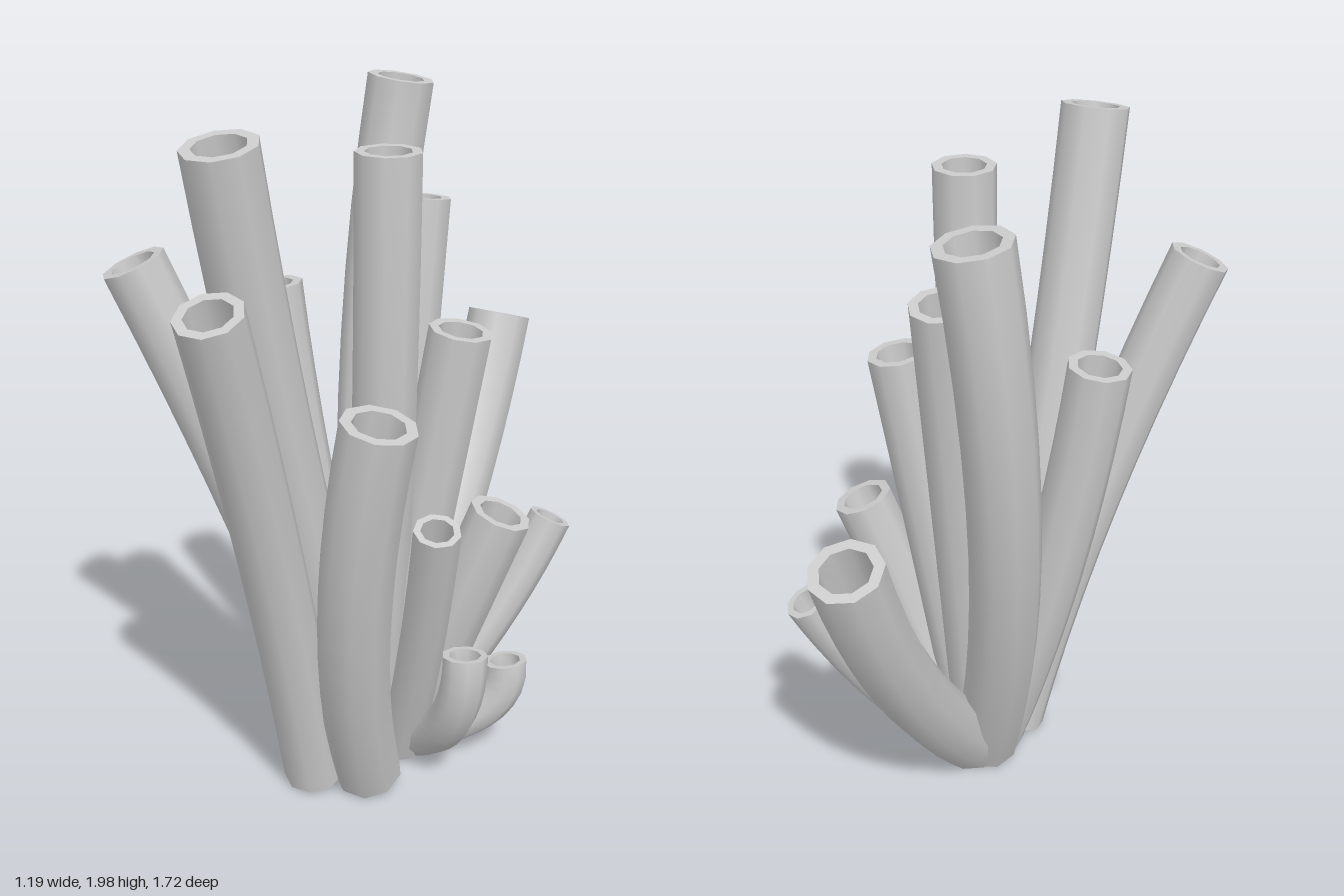
import * as THREE from 'three';
import { mergeGeometries } from 'three/addons/utils/BufferGeometryUtils.js';

const SIDES = 9, STEPS = 10, WALL = 0.7;
const material = new THREE.MeshStandardMaterial({ color: 0xcccccc, side: THREE.DoubleSide });

// Flat ring that closes the wall between the outer and inner tube at one end
function rim(outer, inner, step) {
  const pos = [], index = [];
  for (let j = 0; j <= SIDES; j++) {
    for (const g of [outer, inner]) {
      const p = new THREE.Vector3().fromBufferAttribute(g.attributes.position, step * (SIDES + 1) + j);
      pos.push(p.x, p.y, p.z);
    }
    const a = j * 2;
    if (j < SIDES && step === 0) index.push(a, a + 1, a + 2, a + 1, a + 3, a + 2);
    else if (j < SIDES) index.push(a, a + 2, a + 1, a + 1, a + 2, a + 3);
  }
  const g = new THREE.BufferGeometry();
  g.setAttribute('position', new THREE.Float32BufferAttribute(pos, 3));
  g.setIndex(index);
  g.computeVertexNormals();
  return g;
}

// Hollow, open-ended tube that leans through a point at half height
function hollowTube(name, radius, [bx, bz, mx, mz, tx, ty, tz]) {
  const tip = new THREE.Vector3(tx, ty, tz);
  const bend = new THREE.Vector3(2 * mx - (bx + tx) / 2, ty / 2, 2 * mz - (bz + tz) / 2);
  const base = new THREE.Vector3(bx, 0, bz);
  // lift the base so that its tilted end clears the ground
  const lean = bend.clone().sub(base).normalize();
  base.y = 0.015 + radius * Math.hypot(lean.x, lean.z);
  const curve = new THREE.QuadraticBezierCurve3(base, bend, tip);
  const outer = new THREE.TubeGeometry(curve, STEPS, radius, SIDES);
  const inner = new THREE.TubeGeometry(curve, STEPS, radius * WALL, SIDES);
  const ends = [rim(outer, inner, 0), rim(outer, inner, STEPS)];
  // the bore faces inward
  const idx = inner.index.array;
  for (let i = 0; i < idx.length; i += 3) [idx[i], idx[i + 1]] = [idx[i + 1], idx[i]];
  inner.attributes.normal.array.forEach((v, i, a) => { a[i] = -v; });
  for (const g of [outer, inner]) g.deleteAttribute('uv');
  const mesh = new THREE.Mesh(mergeGeometries([outer, inner, ...ends]), material);
  mesh.name = name;
  return mesh;
}

// Each tube: base x z, half-height x z, mouth x y z
const THICK = {
  tallFrontTube: [0.03, 0.1, -0.09, 0.335, -0.17, 1.97, 0.55],
  leftFrontTube: [0.12, 0.27, 0.145, 0.48, 0.24, 1.31, 0.575],
  tallBackTube: [0.04, -0.07, -0.08, -0.39, -0.03, 1.97, -0.535],
  outerBackTube: [0.08, -0.1, 0.18, -0.5, 0.25, 1.18, -0.77],
};
const MEDIUM = {
  outerFrontTube: [-0.04, 0.3, -0.08, 0.5, -0.12, 1.62, 0.77],
  rightFrontTube: [-0.03, 0.08, -0.23, 0.23, -0.51, 1.6, 0.365],
  centreTube: [0.06, 0.03, 0.12, 0.135, 0.14, 1.9, 0.17],
  rightTube: [0.02, 0, -0.16, -0.04, -0.28, 1.44, -0.06],
  centreBackTube: [0.06, -0.04, 0.085, -0.145, 0.11, 1.68, -0.26],
  leftTube: [0.09, 0.02, 0.2, 0.03, 0.31, 1.385, 0.025],
  lowerLeftTube: [0.16, 0.03, 0.3, 0.065, 0.45, 0.86, 0.06],
};
const SLIM = {
  slimLeftFrontTube: [0.17, 0.09, 0.265, 0.225, 0.34, 0.93, 0.36],
  slimLeftBackTube: [0.18, -0.06, 0.38, -0.18, 0.535, 0.7, -0.285],
  shortFrontTube: [0.22, 0.07, 0.365, 0.235, 0.405, 0.5, 0.265],
  shortLeftTube: [0.22, 0.05, 0.42, 0.02, 0.47, 0.34, 0],
};

export function createModel() {
  const model = new THREE.Group();
  model.name = 'tubeCluster';
  for (const [radius, tubes] of [[0.102, THICK], [0.091, MEDIUM], [0.066, SLIM]])
    for (const [name, points] of Object.entries(tubes)) model.add(hollowTube(name, radius, points));
  return model;
}
